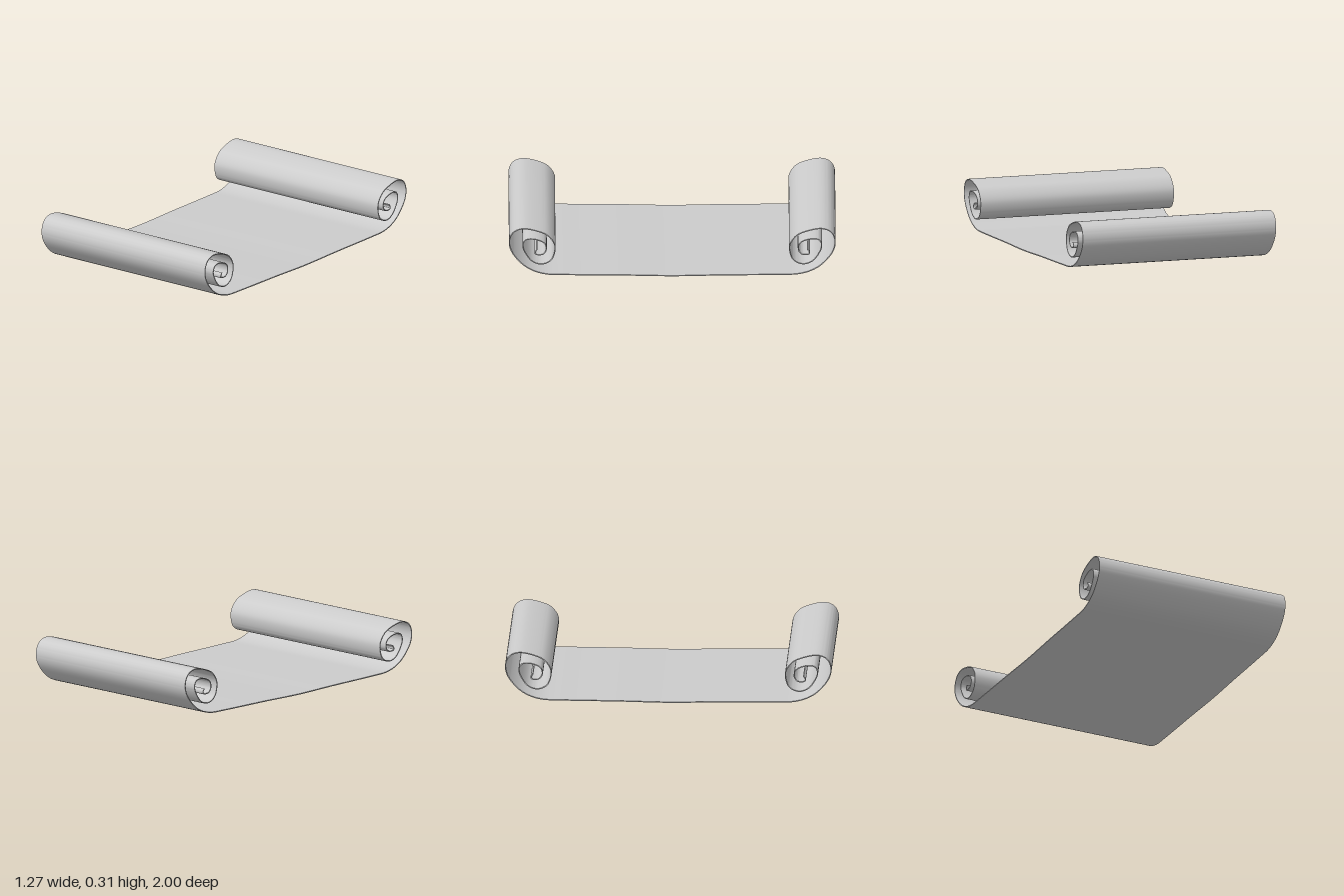
import * as THREE from 'three';
import { toCreasedNormals } from 'three/addons/utils/BufferGeometryUtils.js';

const WIDTH = 1.27, THICKNESS = 0.006;

// Half of the sheet's centre line as [z, y], from the flat part into the curl
const CURL = [
  [0.3, 0.009], [0.635, 0.012], [0.785, 0.019], [0.893, 0.062], [0.973, 0.145],
  [0.997, 0.22], [0.973, 0.285], [0.909, 0.31], [0.812, 0.29], [0.753, 0.257],
  [0.718, 0.193], [0.737, 0.113], [0.8, 0.081], [0.866, 0.107], [0.913, 0.185],
  [0.898, 0.236], [0.84, 0.241], [0.785, 0.218], [0.771, 0.177], [0.792, 0.145],
  [0.832, 0.143], [0.84, 0.157], [0.828, 0.175],
];

export function createModel() {
  const group = new THREE.Group();
  group.name = 'scroll';

  // Mirror the half profile and smooth it into one line
  const half = CURL.map(([z, y]) => new THREE.Vector2(z, y));
  const mirrored = half.map(p => new THREE.Vector2(-p.x, p.y)).reverse();
  const line = new THREE.SplineCurve([...mirrored, new THREE.Vector2(0, 0.004), ...half]);

  // Offset the line to both sides to give the paper its thickness
  const upper = [], lower = [];
  const steps = 400;
  for (let i = 0; i <= steps; i++) {
    const p = line.getPoint(i / steps), t = line.getTangent(i / steps);
    const n = new THREE.Vector2(-t.y, t.x).multiplyScalar(THICKNESS / 2);
    upper.push(p.clone().add(n));
    lower.push(p.clone().sub(n));
  }
  const outline = new THREE.Shape([...lower, ...upper.reverse()]);

  // Extrude across the width, turned so the profile runs along z
  let sheet = new THREE.ExtrudeGeometry(outline, { depth: WIDTH, bevelEnabled: false });
  sheet.translate(0, 0, -WIDTH / 2);
  sheet.rotateY(-Math.PI / 2);
  sheet.computeBoundingBox();
  sheet.translate(0, -sheet.boundingBox.min.y, 0);
  sheet = toCreasedNormals(sheet, 0.7);

  const paper = new THREE.Mesh(sheet, new THREE.MeshStandardMaterial({ color: 0xcccccc, side: THREE.DoubleSide }));
  paper.name = 'paperSheet';
  group.add(paper);
  return group;
}
